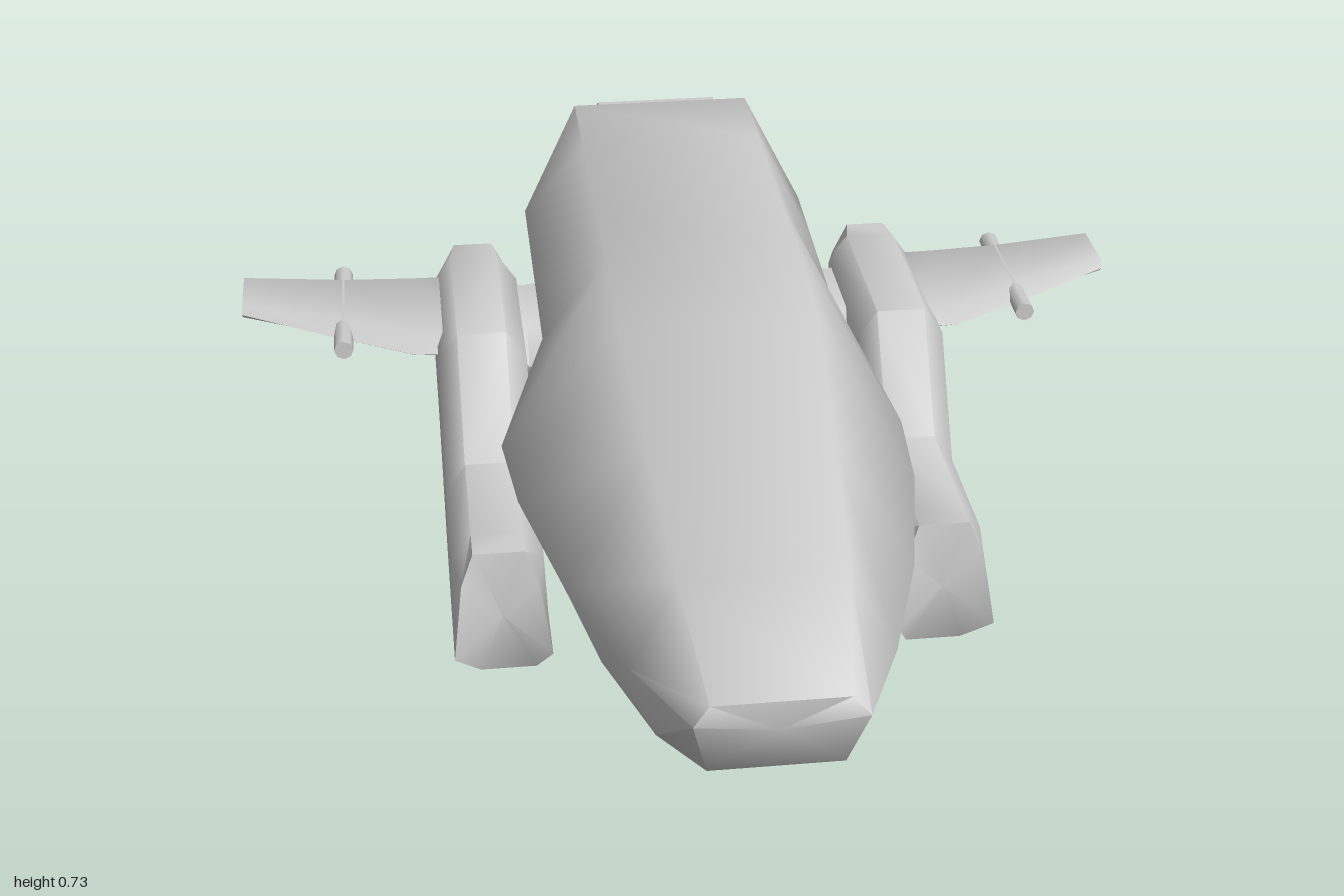
import * as THREE from 'three';
import { toCreasedNormals } from 'three/addons/utils/BufferGeometryUtils.js';

const material = new THREE.MeshStandardMaterial({ color: 0xcccccc });

// Skins a row of closed rings and caps both ends; side = -1 mirrors across x.
function loft(name, rings, side = 1, crease = 1.15) {
  const n = rings[0].length;
  const points = rings.flat().map(([x, y, z]) => [x * side, y, z]);
  const index = [];
  const tri = (a, b, c) => (side > 0 ? index.push(a, b, c) : index.push(a, c, b));
  const centre = (ring) => [0, 1, 2].map((k) => ring.reduce((s, p) => s + p[k], 0) / n * (k === 0 ? side : 1));
  const front = points.push(centre(rings[0])) - 1;
  const back = points.push(centre(rings[rings.length - 1])) - 1;
  const last = (rings.length - 1) * n;
  for (let j = 0; j < n; j++) {
    const k = (j + 1) % n;
    for (let i = 0; i < last; i += n) {
      tri(i + j, i + n + j, i + n + k);
      tri(i + j, i + n + k, i + k);
    }
    tri(front, j, k);
    tri(back, last + k, last + j);
  }
  const geometry = new THREE.BufferGeometry();
  geometry.setAttribute('position', new THREE.Float32BufferAttribute(points.flat(), 3));
  geometry.setIndex(index);
  const mesh = new THREE.Mesh(toCreasedNormals(geometry, crease), material);
  mesh.name = name;
  return mesh;
}

// Six-sided hull ring from top, middle and bottom edges, each [z, y, halfWidth].
const hexRing = (top, mid, bottom) => [
  [mid[2], mid[1], mid[0]], [top[2], top[1], top[0]], [-top[2], top[1], top[0]],
  [-mid[2], mid[1], mid[0]], [-bottom[2], bottom[1], bottom[0]], [bottom[2], bottom[1], bottom[0]],
];

function hull() {
  return loft('hull', [
    hexRing([0.985, 0.415, 0.12], [1, 0.385, 0.15], [0.94, 0.25, 0.12]),
    hexRing([0.76, 0.52, 0.15], [0.78, 0.36, 0.235], [0.78, 0.215, 0.19]),
    hexRing([0.48, 0.61, 0.17], [0.48, 0.34, 0.325], [0.48, 0.17, 0.26]),
    hexRing([0.15, 0.695, 0.19], [0.15, 0.33, 0.39], [0.15, 0.148, 0.31]),
    hexRing([-0.09, 0.725, 0.19], [-0.09, 0.32, 0.41], [-0.09, 0.145, 0.32]),
    hexRing([-0.28, 0.725, 0.19], [-0.28, 0.46, 0.31], [-0.28, 0.235, 0.28]),
    hexRing([-0.65, 0.725, 0.19], [-0.65, 0.48, 0.31], [-0.65, 0.285, 0.27]),
    hexRing([-0.88, 0.725, 0.19], [-0.85, 0.49, 0.31], [-0.74, 0.285, 0.27]),
    hexRing([-0.915, 0.685, 0.14], [-0.915, 0.53, 0.21], [-0.8, 0.43, 0.2]),
  ]);
}

// Hollow trapezoid exhaust with a chamfered rim.
function nozzle() {
  const ring = (z, inset) => hexRing(
    [z, 0.69 - inset, 0.13 - inset * 0.5],
    [z, 0.575, 0.21 - inset],
    [z, 0.535 + inset, 0.19 - inset],
  );
  return loft('engineNozzle', [
    ring(-0.86, 0.02), ring(-0.92, 0.02), ring(-0.935, 0), ring(-0.98, 0),
    ring(-1, 0.015), ring(-1, 0.03), ring(-0.94, 0.04),
  ], 1, 0.6);
}

// Pod ring along a slanted line from bottom [z, y] to top [z, y]; bulge pushes its widest band in z.
function podRing(bottom, top, { bulge = 0, high = 0.09, low = 0.095, cap = 0.05, squeeze = 1 } = {}) {
  const profile = [
    [low, 0.27], [high, 0.78], [cap, 1], [-cap, 1],
    [-high, 0.78], [-low, 0.27], [-0.065, 0], [0.045, 0],
  ];
  return profile.map(([x, t]) => [
    0.435 + x * squeeze,
    bottom[1] + (top[1] - bottom[1]) * t,
    bottom[0] + (top[0] - bottom[0]) * t + (t > 0 && t < 1 ? bulge * (t < 0.5 ? 1 : 0.3) : 0),
  ]);
}

function pod(side) {
  return loft('landingPod', [
    podRing([0.23, 0], [0.235, 0.27], { bulge: 0.068, high: 0.075 }),
    podRing([0.16, 0], [0.16, 0.27]),
    podRing([-0.11, 0], [-0.11, 0.27]),
    podRing([-0.26, 0.225], [-0.26, 0.49]),
    podRing([-0.61, 0.225], [-0.63, 0.49]),
    podRing([-0.65, 0.225], [-0.69, 0.49], { squeeze: 0.8 }),
  ], side, 1.05);
}

// Six-sided wing rib at x, spanning z from front to rear.
const rib = (x, front, rear, low, high, edge = 0.025) => {
  const mid = (low + high) / 2;
  return [
    [x, mid, rear], [x, high, rear + edge], [x, high, front - edge * 2],
    [x, mid, front], [x, low, front - edge * 2], [x, low, rear + edge],
  ];
};

function wing(side) {
  return loft('wing', [
    rib(0.93, -0.5, -0.66, 0.428, 0.457, 0.01),
    rib(0.72, -0.385, -0.65, 0.41, 0.452),
    rib(0.57, -0.31, -0.643, 0.397, 0.45),
    rib(0.45, -0.305, -0.64, 0.393, 0.45),
  ], side);
}

// Strut joining the pod to the hull, waisted in the middle.
function strut(side) {
  return loft('podStrut', [
    rib(0.42, -0.34, -0.63, 0.26, 0.45),
    rib(0.335, -0.35, -0.62, 0.29, 0.43),
    rib(0.2, -0.34, -0.63, 0.27, 0.45),
  ], side);
}

function wingRod(side) {
  const rod = new THREE.Mesh(new THREE.CylinderGeometry(0.02, 0.02, 0.36, 8), material);
  rod.name = 'wingRod';
  rod.rotation.x = Math.PI / 2;
  rod.position.set(0.718 * side, 0.433, -0.51);
  return rod;
}

export function createModel() {
  const model = new THREE.Group();
  model.name = 'spacecraft';
  model.add(hull(), nozzle());
  for (const side of [1, -1]) {
    const assembly = new THREE.Group();
    assembly.name = side > 0 ? 'leftWingAssembly' : 'rightWingAssembly';
    assembly.add(pod(side), strut(side), wing(side), wingRod(side));
    model.add(assembly);
  }
  return model;
}
